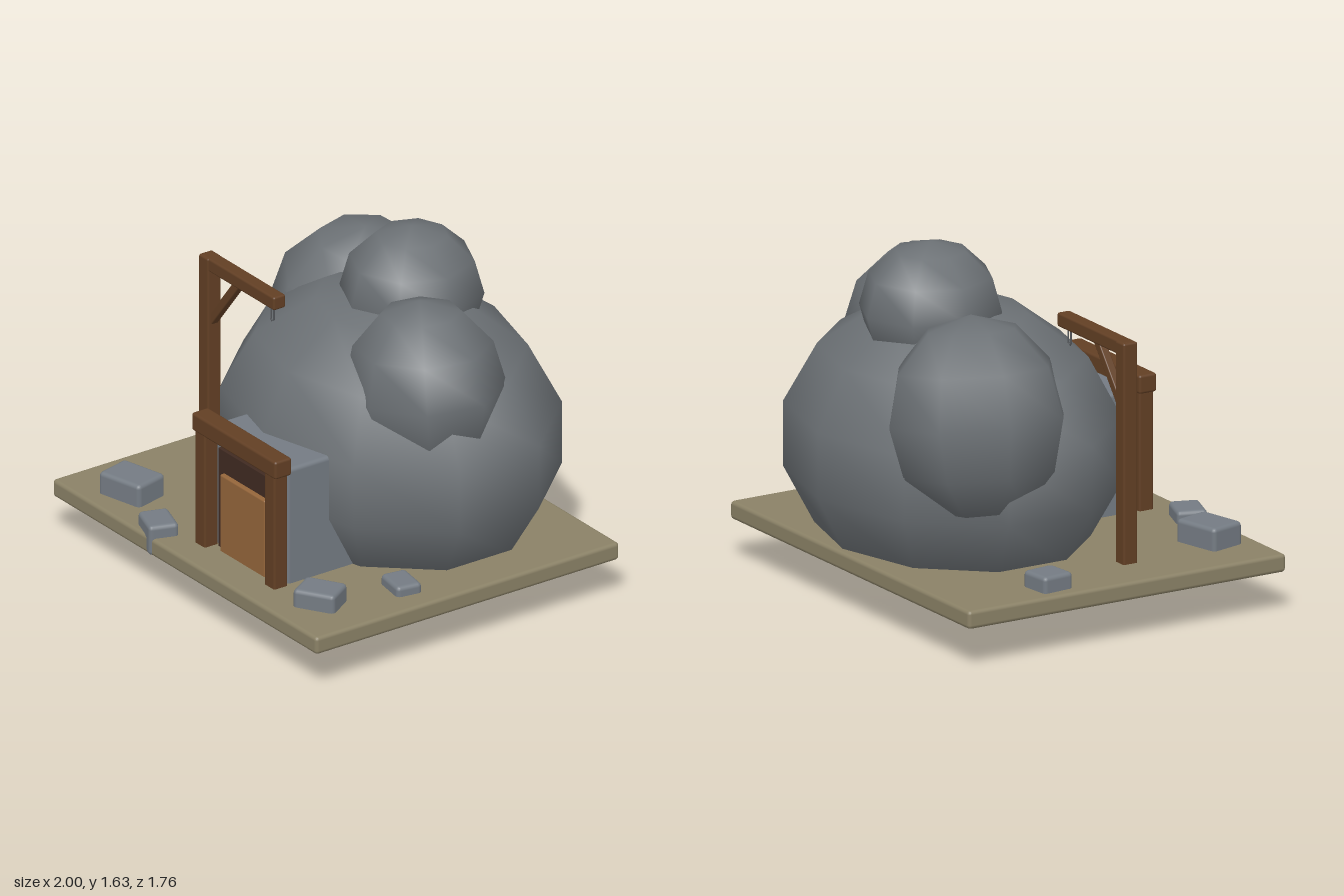
import * as THREE from 'three';
import { RoundedBoxGeometry } from 'three/addons/geometries/RoundedBoxGeometry.js';

const material = (name, color) => {
  const m = new THREE.MeshStandardMaterial({ color });
  m.name = name;
  return m;
};

export function createModel() {
  const boulderGrey = material('boulder grey', 0x6c7175);
  const stoneGrey = material('cut stone grey', 0x747b83);
  const earth = material('dry earth', 0x8a8166);
  const wood = material('dark wood', 0x623f24);
  const doorWood = material('light door wood', 0x94653a);
  const shadow = material('dark doorway', 0x402a21);
  const iron = material('iron', 0x55585c);

  const model = new THREE.Group();
  model.name = 'boulderShelter';

  const add = (name, geometry, mat, parent = model) => {
    const mesh = new THREE.Mesh(geometry, mat);
    mesh.name = name;
    parent.add(mesh);
    return mesh;
  };
  // Softly bevelled block given by its extents on each axis
  const block = (name, mat, [x0, x1], [y0, y1], [z0, z1], bevel = 0.01, parent = model) => {
    const mesh = add(name, new RoundedBoxGeometry(x1 - x0, y1 - y0, z1 - z0, 2, bevel), mat, parent);
    mesh.position.set((x0 + x1) / 2, (y0 + y1) / 2, (z0 + z1) / 2);
    return mesh;
  };
  // Coarse smooth sphere with a vertex column facing the front
  const lobe = (name, sides, rings, radii, position, rotation = [0, 0, 0]) => {
    const geometry = new THREE.SphereGeometry(1, sides, rings).rotateY(Math.PI / 2).scale(...radii);
    const mesh = add(name, geometry, boulderGrey);
    mesh.position.set(...position);
    mesh.rotation.set(...rotation);
  };

  // Ground slab
  block('groundSlab', earth, [-1, 1], [0.19, 0.275], [-0.795, 0.868], 0.018);

  // Boulder cluster
  lobe('mainBoulder', 10, 7, [0.884, 0.68, 0.723], [0.11, 0.68, -0.185]);
  lobe('topBoulder', 8, 6, [0.32, 0.31, 0.33], [0.11, 1.32, -0.3]);
  lobe('rightBoulder', 8, 6, [0.41, 0.47, 0.42], [-0.42, 0.955, -0.39], [0, -0.17, -0.15]);
  lobe('leftBoulder', 8, 6, [0.375, 0.41, 0.35], [0.53, 1.07, -0.07], [0, 0.15, 0.08]);

  // Entrance: stone porch, timber frame and door
  const entrance = new THREE.Group();
  entrance.name = 'entrance';
  model.add(entrance);
  block('porch', stoneGrey, [-0.1, 0.48], [0.2, 0.84], [0.2, 0.652], 0.02, entrance);
  block('doorway', shadow, [-0.02, 0.4], [0.25, 0.76], [0.6, 0.668], 0.004, entrance);
  block('door', doorWood, [0.022, 0.362], [0.26, 0.65], [0.62, 0.69], 0.008, entrance);
  for (const side of [-1, 1]) {
    const x = 0.19 + side * 0.263;
    block('doorPost', wood, [x - 0.038, x + 0.038], [0.187, 0.84], [0.655, 0.73], 0.01, entrance);
  }
  block('lintel', wood, [-0.128, 0.508], [0.823, 0.91], [0.645, 0.737], 0.012, entrance);

  // Hoist: post, arm, diagonal brace and iron link
  const hoist = new THREE.Group();
  hoist.name = 'hoist';
  model.add(hoist);
  block('hoistPost', wood, [-0.764, -0.69], [0.187, 1.3], [0.164, 0.238], 0.01, hoist);
  block('hoistArm', wood, [-0.755, -0.198], [1.237, 1.302], [0.168, 0.234], 0.01, hoist);
  const brace = add('hoistBrace', new RoundedBoxGeometry(0.04, 0.36, 0.04, 2, 0.006), wood, hoist);
  brace.position.set(-0.6, 1.12, 0.201);
  brace.rotation.z = -0.67;
  for (const x of [-0.264, -0.242]) {
    const rod = add('hoistLink', new THREE.CylinderGeometry(0.004, 0.004, 0.08, 6), iron, hoist);
    rod.position.set(x, 1.21, 0.201);
  }
  const hook = add('hoistHook', new THREE.TorusGeometry(0.011, 0.004, 6, 10, Math.PI), iron, hoist);
  hook.position.set(-0.253, 1.17, 0.201);
  hook.rotation.z = Math.PI;

  // Loose stones: x, z, width, depth, bottom, top, turn
  const stones = [
    [-0.67, 0.67, 0.24, 0.18, 0.22, 0.38, 0.24],
    [-0.31, 0.785, 0.18, 0.14, 0.19, 0.335, -0.33],
    [0.72, 0.645, 0.2, 0.16, 0.22, 0.36, 0.55],
    [0.803, 0.26, 0.17, 0.125, 0.22, 0.323, -0.16],
    [-0.865, -0.295, 0.16, 0.16, 0.22, 0.35, 0.1],
  ];
  for (const [x, z, w, d, y0, y1, turn] of stones) {
    const stone = block('looseStone', stoneGrey, [x - w / 2, x + w / 2], [y0, y1], [z - d / 2, z + d / 2], 0.02);
    stone.rotation.y = turn;
  }
  return model;
}
